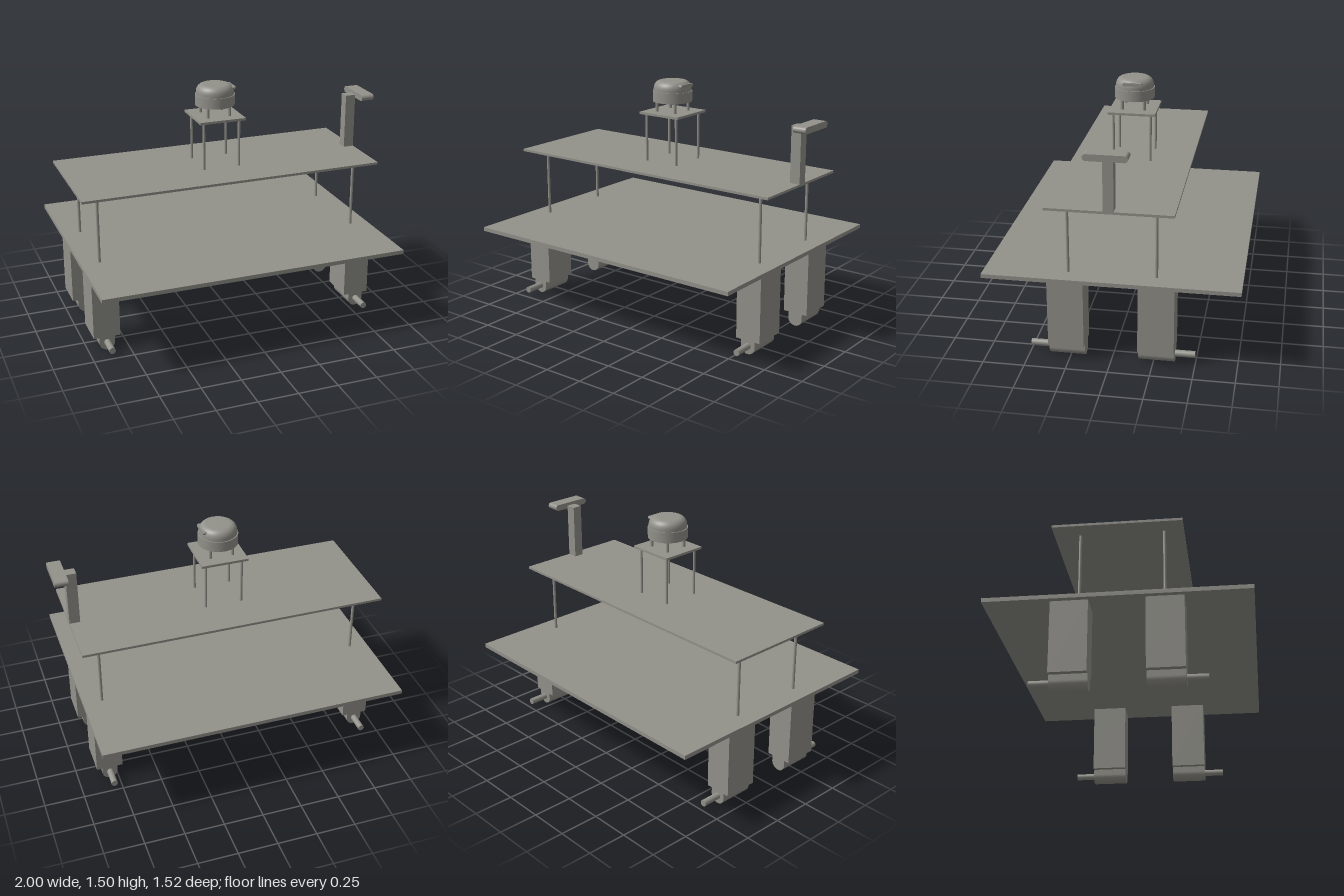
import * as THREE from 'three';

export function createModel() {
  const model = new THREE.Group();
  const mat = new THREE.MeshStandardMaterial({ color: 0x92918a });

  const add = (name, geo, x = 0, y = 0, z = 0) => {
    const m = new THREE.Mesh(geo, mat);
    m.name = name;
    m.position.set(x, y, z);
    model.add(m);
    return m;
  };
  // box from its lower and upper limits
  const box = (name, x0, x1, y0, y1, z0, z1) =>
    add(name, new THREE.BoxGeometry(x1 - x0, y1 - y0, z1 - z0), (x0 + x1) / 2, (y0 + y1) / 2, (z0 + z1) / 2);
  // upright round post
  const post = (name, r, x, z, y0, y1) =>
    add(name, new THREE.CylinderGeometry(r, r, y1 - y0, 20), x, (y0 + y1) / 2, z);
  // horizontal slot shape with round ends
  const stadium = (halfLength, r) => {
    const s = new THREE.Shape();
    s.absarc(halfLength - r, 0, r, -Math.PI / 2, Math.PI / 2, false);
    s.absarc(r - halfLength, 0, r, Math.PI / 2, Math.PI * 1.5, false);
    s.closePath();
    return s;
  };
  const extrude = (shape, depth) =>
    new THREE.ExtrudeGeometry(shape, { depth, bevelEnabled: false, curveSegments: 16 });

  // decks
  box('baseDeck', -1, 0.917, 0.515, 0.54, -0.762, 0.762);
  box('upperDeck', -1, 0.917, 0.971, 0.986, -0.376, 0.376);
  box('sensorDeck', -0.19, 0.108, 1.287, 1.302, -0.148, 0.148);

  // deck posts
  for (const [x, z] of [[-0.884, 0.264], [-0.884, -0.224], [0.799, 0.264], [0.799, -0.261]])
    post('deckPost', 0.009, x, z, 0.54, 0.971);
  for (const x of [-0.157, 0.074])
    for (const z of [-0.116, 0.117]) post('sensorDeckPost', 0.008, x, z, 0.986, 1.287);

  // legs with rounded motor feet and outward axles
  const foot = new THREE.Shape();
  foot.moveTo(0.049, 0.04);
  foot.lineTo(-0.049, 0.04);
  foot.lineTo(-0.049, 0);
  foot.absarc(0, 0, 0.049, Math.PI, Math.PI * 2, false);
  foot.closePath();
  for (const x of [-0.884, 0.802]) {
    for (const side of [1, -1]) {
      const zMid = side * 0.269;
      box('leg', x - 0.083, x + 0.083, 0.085, 0.515, zMid - 0.108, zMid + 0.108);
      add('foot', extrude(foot, 0.216), x, 0.049, zMid - 0.108);
      add('axle', new THREE.CylinderGeometry(0.02, 0.02, 0.122, 24), x, 0.051, side * 0.436)
        .rotation.x = Math.PI / 2;
    }
  }

  // round scanner on four standoffs
  const sx = -0.042, sz = 0;
  for (const dx of [-0.071, 0.071])
    for (const dz of [-0.069, 0.069]) post('scannerStandoff', 0.01, sx + dx, sz + dz, 1.302, 1.367);
  add('scannerBase', new THREE.CylinderGeometry(0.124, 0.124, 0.066, 48), sx, 1.4, sz);
  const dome = new THREE.Path();
  dome.moveTo(0.118, 0);
  dome.lineTo(0.118, 0.016);
  dome.bezierCurveTo(0.117, 0.046, 0.098, 0.066, 0.07, 0.066);
  dome.lineTo(0, 0.066);
  add('scannerDome', new THREE.LatheGeometry(dome.getPoints(12), 48), sx, 1.432, sz);
  // viewing slot on the side of the dome
  add('scannerSlot', extrude(stadium(0.061, 0.01), 0.035), sx + 0.08, 1.473, sz)
    .rotation.y = Math.PI / 2;

  // camera mast and bar
  box('cameraMast', 0.851, 0.917, 0.986, 1.334, -0.031, 0.031);
  add('cameraBar', extrude(stadium(0.127, 0.02), 0.083), 0.917, 1.334, 0)
    .rotation.y = Math.PI / 2;

  return model;
}
